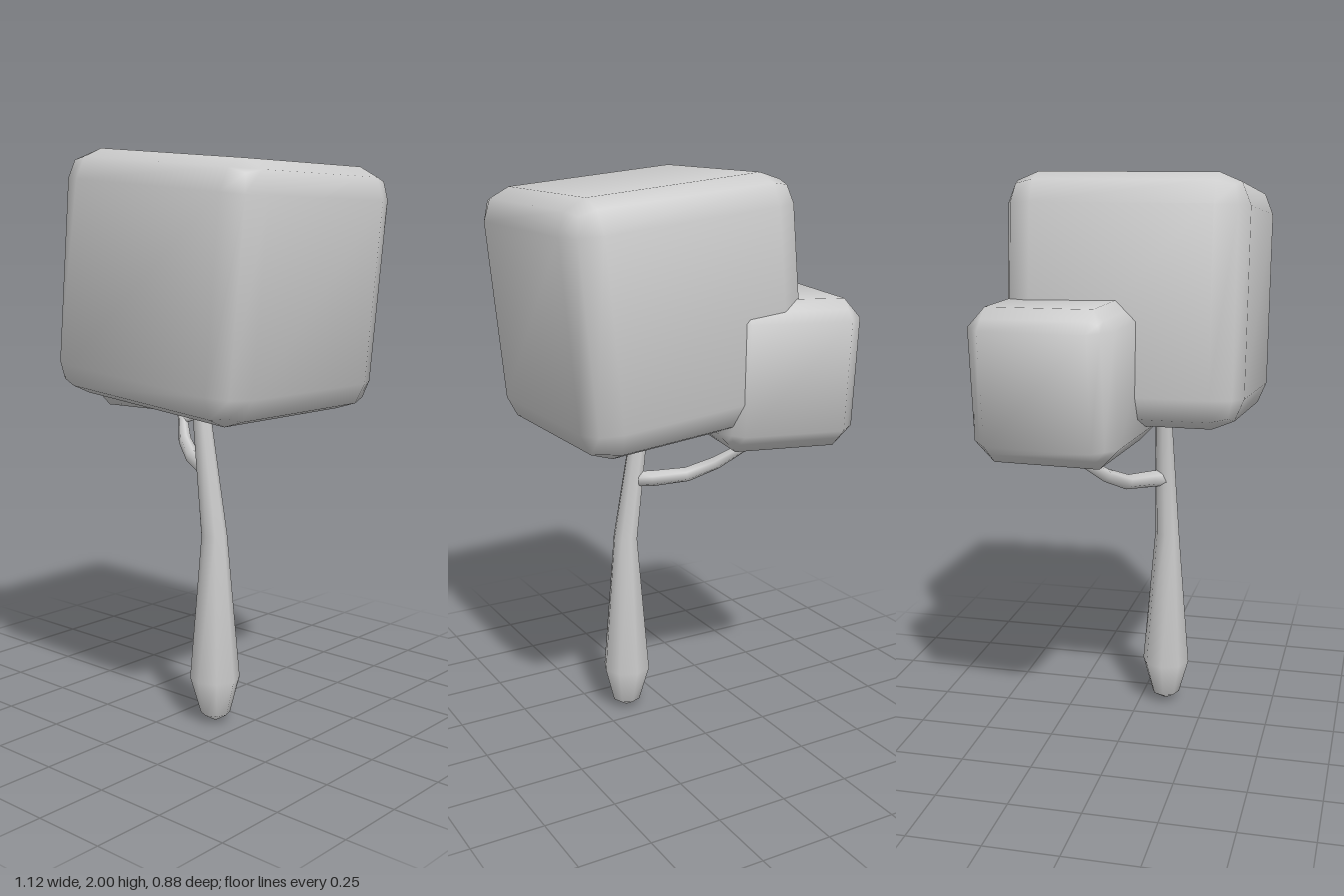
import * as THREE from 'three';
import { mergeVertices } from 'three/addons/utils/BufferGeometryUtils.js';

const paleGrey = new THREE.MeshStandardMaterial({ color: 0xcccccc });
paleGrey.name = 'paleGrey';

// Box with bevelled edges. rounded: two-step bevel, otherwise a single chamfer.
// softness tilts the normals at the face corners for a pillowy look.
function bevelBox(size, bevel, rounded, softness) {
  const geo = new THREE.BoxGeometry(2, 2, 2, 3, 3, 3);
  const pos = geo.attributes.position, nor = geo.attributes.normal;
  for (let i = 0; i < pos.count; i++) {
    const p = [pos.getX(i), pos.getY(i), pos.getZ(i)];
    const t = p.map(c => (Math.abs(c) > 0.9 ? Math.sign(c) : 0));
    const length = rounded ? Math.hypot(...t) : t.reduce((s, c) => s + Math.abs(c), 0);
    const out = p.map((c, k) => Math.sign(c) * (size[k] / 2 - bevel) + (bevel * t[k]) / length);
    pos.setXYZ(i, ...out);
    const n = new THREE.Vector3(...p.map((c, k) => t[k] || Math.sign(c) * softness)).normalize();
    nor.setXYZ(i, n.x, n.y, n.z);
  }
  return geo;
}

// Tapered limb through [x, y, z, radius] stations, listed from base to tip
function limb(stations, sides) {
  const rows = stations.length;
  const geo = new THREE.CylinderGeometry(1, 1, 1, sides, rows - 1, true);
  const pos = geo.attributes.position;
  const points = stations.map(s => new THREE.Vector3(s[0], s[1], s[2]));
  const up = new THREE.Vector3(0, 1, 0);
  for (let i = 0; i < pos.count; i++) {
    const row = rows - 1 - Math.floor(i / (sides + 1));
    const tangent = points[Math.min(row + 1, rows - 1)].clone()
      .sub(points[Math.max(row - 1, 0)]).normalize();
    const turn = new THREE.Quaternion().setFromUnitVectors(up, tangent);
    const v = new THREE.Vector3(pos.getX(i), 0, pos.getZ(i))
      .multiplyScalar(stations[row][3]).applyQuaternion(turn).add(points[row]);
    pos.setXYZ(i, v.x, v.y, v.z);
  }
  geo.deleteAttribute('uv');
  geo.deleteAttribute('normal');
  const merged = mergeVertices(geo, 1e-5);
  merged.computeVertexNormals();
  return merged;
}

export function createModel() {
  const tree = new THREE.Group();
  tree.name = 'tree';
  const add = (name, geo) => {
    const mesh = new THREE.Mesh(geo, paleGrey);
    mesh.name = name;
    tree.add(mesh);
    return mesh;
  };

  // Foliage blocks
  const large = add('largeFoliage', bevelBox([0.84, 0.833, 0.815], 0.105, true, 0.2));
  large.position.set(0.105, 1.555, 0.018);
  large.rotation.z = -0.094;

  const small = add('smallFoliage', bevelBox([0.51, 0.515, 0.51], 0.068, false, 0.35));
  small.position.set(-0.283, 1.335, -0.17);
  small.rotation.set(-0.02, -0.132, 0.035);

  // Trunk: pointed foot, wide base, bending towards the right as it rises
  add('trunk', limb([
    [0.145, 0.003, 0.095, 0.0001],
    [0.145, 0.035, 0.095, 0.052],
    [0.142, 0.165, 0.095, 0.088],
    [0.14, 0.68, 0.097, 0.045],
    [0.075, 1.12, 0.094, 0.031],
    [0.05, 1.3, 0.094, 0.022],
    [0.05, 1.301, 0.094, 0.0001],
  ], 8));

  // Branch reaching into the small foliage
  add('branch', limb([
    [0.1, 0.9, 0.09, 0.03],
    [0.05, 0.905, 0.05, 0.03],
    [-0.06, 0.92, -0.01, 0.027],
    [-0.15, 0.965, -0.065, 0.024],
    [-0.22, 1.028, -0.13, 0.018],
    [-0.31, 1.09, -0.2, 0.012],
    [-0.34, 1.12, -0.225, 0.0001],
  ], 6));

  // Little twig curling off the branch
  add('twig', limb([
    [-0.215, 1.025, -0.125, 0.013],
    [-0.175, 1.042, -0.135, 0.014],
    [-0.15, 1.075, -0.15, 0.012],
    [-0.135, 1.12, -0.155, 0.0001],
  ], 6));

  return tree;
}
